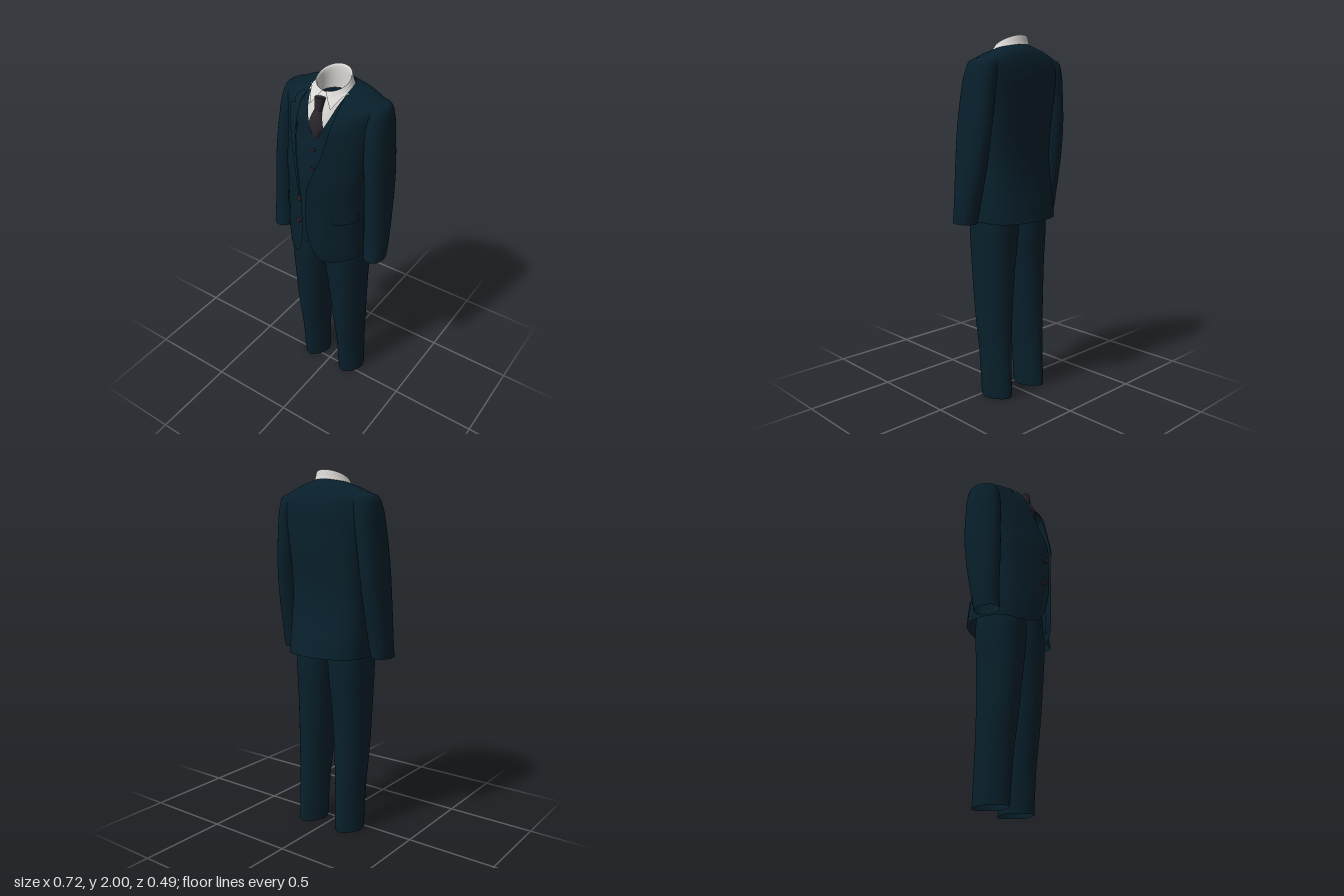
import * as THREE from 'three';
import { ParametricGeometry } from 'three/addons/geometries/ParametricGeometry.js';

const mat = (name, color) => {
  const m = new THREE.MeshStandardMaterial({ color, side: THREE.DoubleSide });
  m.name = name;
  return m;
};
const V = (x, y, z) => new THREE.Vector3(x, y, z);
const lerp = THREE.MathUtils.lerp;

// Smooth surface through rows of control points: u runs along a row, v from the first row to the last
function surface(rows, closed = false) {
  const columns = rows[0].map((_, i) => new THREE.CatmullRomCurve3(rows.map(r => r[i])));
  let lastV = -1, curve;
  return (u, v, target) => {
    if (v !== lastV) {
      curve = new THREE.CatmullRomCurve3(columns.map(c => c.getPoint(v)), closed);
      lastV = v;
    }
    return curve.getPoint(Math.min(1, Math.max(0, u)), target);
  };
}

// Closed ring of control points: below power 1 it is squarer, above 1 it is creased front and back
function ring(s, cx, y, cz, rx, rz, power = 0.9) {
  const p = [];
  for (let i = 0; i < 16; i++) {
    const a = i / 16 * Math.PI * 2, c = Math.cos(a), n = Math.sin(a);
    p.push(V(s * (cx + rx * Math.sign(c) * Math.abs(c) ** power), y,
      cz - rz * Math.sign(n) * Math.abs(n) ** power));
  }
  return s < 0 ? p.reverse() : p;
}

export function createModel() {
  const group = new THREE.Group();
  group.name = 'suit';
  const navy = mat('navy cloth', 0x08202c);
  const white = mat('white shirt', 0xdcdad6);
  const tieMat = mat('dark tie', 0x2a262d);
  const buttonMat = mat('brown button', 0x33272a);

  const add = (name, geo, material) => {
    const m = new THREE.Mesh(geo, material);
    m.name = name;
    group.add(m);
    return m;
  };
  const loft = (name, rows, material, nu, nv, closed) =>
    add(name, new ParametricGeometry(surface(rows, closed), nu, nv), material);

  // Jacket: [front y, side y, back y, edge x, front z, half width, side z, back z], hem to neck
  const jacketRows = [
    [0.98, 1.01, 1.01, 0.13, 0.165, 0.237, -0.04, -0.24],
    [1.0, 1.05, 1.04, 0.075, 0.2, 0.238, -0.04, -0.234],
    [1.06, 1.1, 1.1, 0.04, 0.222, 0.238, -0.04, -0.225],
    [1.2, 1.2, 1.2, 0.013, 0.238, 0.235, -0.04, -0.207],
    [1.35, 1.35, 1.35, 0.013, 0.24, 0.23, -0.04, -0.192],
    [1.48, 1.48, 1.48, 0.023, 0.237, 0.235, -0.045, -0.195],
    [1.6, 1.6, 1.6, 0.06, 0.202, 0.242, -0.06, -0.2],
    [1.7, 1.7, 1.7, 0.085, 0.173, 0.252, -0.075, -0.2],
    [1.78, 1.78, 1.78, 0.098, 0.147, 0.26, -0.08, -0.2],
    [1.85, 1.86, 1.86, 0.105, 0.102, 0.265, -0.075, -0.188],
    [1.88, 1.9, 1.915, 0.108, 0.07, 0.2, -0.06, -0.168],
    [1.905, 1.935, 1.953, 0.1, 0.03, 0.1, -0.045, -0.131],
  ].map(([yF, yS, yB, xe, zf, w, zs, zb]) => {
    const half = [
      V(xe, yF, zf),
      V(lerp(xe, w, 0.5), lerp(yF, yS, 0.3), lerp(zf, zs, 0.22)),
      V(lerp(xe, w, 0.88), lerp(yF, yS, 0.7), lerp(zf, zs, 0.52)),
      V(w, yS, zs),
      V(w * 0.94, lerp(yS, yB, 0.3), lerp(zs, zb, 0.52)),
      V(w * 0.68, lerp(yS, yB, 0.6), lerp(zs, zb, 0.83)),
    ];
    return [...half, V(0, yB, zb), ...half.map(p => V(-p.x, p.y, p.z)).reverse()];
  });
  const jacket = surface(jacketRows);
  loft('jacket', jacketRows, navy, 72, 66);

  // Cloth patch lying just above the jacket; range(v) gives its start and end along the row
  function patch(name, side, v0, v1, range, lift) {
    const geo = new ParametricGeometry((a, b, target) => {
      const v = lerp(v0, v1, b), [u0, u1] = range(b);
      const u = side > 0 ? lerp(u0, u1, a) : 1 - lerp(u1, u0, a);
      jacket(u, v, target);
    }, 8, 24);
    const p = geo.attributes.position, n = geo.attributes.normal;
    for (let i = 0; i < p.count; i++) {
      p.setXYZ(i, p.getX(i) + n.getX(i) * lift, p.getY(i) + n.getY(i) * lift, p.getZ(i) + n.getZ(i) * lift);
    }
    add(name, geo, navy);
  }
  for (const s of [1, -1]) {
    const lapelWidth = b => (b < 0.72 ? 0.012 + b * 0.085 : b < 0.78 ? 0.035 : 0.05);
    patch('lapel', s, 0.41, 0.94, b => [0, lapelWidth(b)], 0.005);
    patch('pocketFlap', s, 0.3, 0.328, () => [0.09, 0.19], 0.006);
    patch('backVent', s, 0.01, 0.24, () => [0.385, 0.42], 0.003);
  }
  patch('breastPocket', 1, 0.56, 0.578, () => [0.075, 0.14], 0.004);

  for (const s of [1, -1]) {
    // Facing folded back inside the jacket edge
    loft('jacketFacing', jacketRows.slice(1, 9).map(r => {
      const e = r[0], inner = V(s * (e.x + 0.05), e.y, e.z - 0.06), edge = V(s * e.x, e.y, e.z);
      return s > 0 ? [inner, edge] : [edge, inner];
    }), navy, 3, 36);

    // Sleeves, open at the cuff
    loft('sleeve', [
      [0.302, 1.01, 0.008, 0.056, 0.074],
      [0.298, 1.1, -0.006, 0.061, 0.078],
      [0.289, 1.3, -0.028, 0.062, 0.1],
      [0.278, 1.5, -0.044, 0.062, 0.113],
      [0.259, 1.7, -0.056, 0.063, 0.11],
      [0.244, 1.8, -0.064, 0.067, 0.102],
      [0.222, 1.862, -0.07, 0.071, 0.084],
      [0.19, 1.885, -0.07, 0.045, 0.045],
    ].map(r => ring(s, ...r)), navy, 32, 36, true);

    // Trouser legs, open at both ends
    loft('trouserLeg', [
      [0.13, 0, -0.055, 0.081, 0.106, 1.25],
      [0.128, 0.25, -0.042, 0.085, 0.109, 1.15],
      [0.125, 0.47, -0.026, 0.092, 0.117, 0.98],
      [0.117, 0.75, -0.016, 0.105, 0.133, 0.92],
      [0.111, 0.9, -0.015, 0.114, 0.142, 0.88],
      [0.109, 1.0, -0.015, 0.115, 0.143, 0.85],
      [0.1, 1.12, -0.015, 0.108, 0.138, 0.85],
    ].map(r => ring(s, ...r)), navy, 48, 36, true);

    // Waistcoat front: [front y, point y, side y, edge x, front z, half width]
    loft('waistcoat', [
      [1.09, 1.03, 1.08, 0, 0.15, 0.2],
      [1.2, 1.19, 1.2, 0, 0.157, 0.2],
      [1.45, 1.45, 1.45, 0, 0.157, 0.2],
      [1.62, 1.62, 1.62, 0, 0.145, 0.2],
      [1.7, 1.7, 1.7, 0.002, 0.132, 0.2],
      [1.78, 1.78, 1.78, 0.05, 0.115, 0.19],
      [1.87, 1.87, 1.87, 0.085, 0.06, 0.15],
      [1.9, 1.9, 1.9, 0.095, 0.025, 0.12],
    ].map(([yF, yM, yS, xe, z, w]) => {
      const r = [V(s * xe, yF, z), V(s * lerp(xe, w, 0.3), yM, z - 0.008),
        V(s * lerp(xe, w, 0.7), lerp(yM, yS, 0.6), z - 0.04), V(s * w, yS, z - 0.15)];
      return s < 0 ? r.reverse() : r;
    }), navy, 16, 36);

    // Cuff buttons
    for (let i = 0; i < 3; i++) {
      const b = add('cuffButton', new THREE.SphereGeometry(0.007, 10, 6), buttonMat);
      b.position.set(s * 0.335, 1.05 + i * 0.03, -0.057 - i * 0.004);
    }
  }

  // Shirt front
  loft('shirtFront', [[1.66, 0.122], [1.78, 0.106], [1.87, 0.075], [1.92, 0.045]].map(([y, z]) =>
    [0.11, 0.05, 0, -0.05, -0.11].map(x => V(x, y, z - 3.5 * x * x))), white, 16, 14);

  // Shirt collar: outside fall with two front points, top fold, inside wall
  const collarRow = (start, rx, rz, yBack, yFront, tip) => {
    const r = [];
    for (let i = 0; i <= 24; i++) {
      const a = lerp(start, Math.PI * 2 - start, i / 24), f = Math.max(0, Math.cos(a));
      r.push(V(rx * Math.sin(a), lerp(yBack, yFront, (1 + Math.cos(a)) / 2) - tip * 2 * f ** 3,
        -0.035 + rz * Math.cos(a) + tip * f ** 2));
    }
    return r;
  };
  loft('shirtCollar', [
    collarRow(0.6, 0.107, 0.1, 1.935, 1.92, 0.06),
    collarRow(0.3, 0.099, 0.093, 1.965, 1.92, 0.015),
    collarRow(0.1, 0.09, 0.086, 2.0, 1.925, 0),
    collarRow(0.08, 0.085, 0.08, 1.995, 1.92, 0),
    collarRow(0.05, 0.086, 0.08, 1.87, 1.85, 0),
  ], white, 64, 24);

  // Tie: knot and blade
  const knot = add('tieKnot', new THREE.CylinderGeometry(0.028, 0.019, 0.065, 16), tieMat);
  knot.position.set(0, 1.873, 0.093);
  knot.rotation.x = -0.25;
  loft('tieBlade', [[1.67, 0.008, 0.118], [1.72, 0.03, 0.134], [1.77, 0.042, 0.138],
    [1.82, 0.03, 0.128], [1.86, 0.016, 0.1]].map(([y, w, z]) =>
    [V(w, y, z - 0.014), V(w * 0.5, y, z), V(0, y, z + 0.003), V(-w * 0.5, y, z), V(-w, y, z - 0.014)]),
  tieMat, 10, 16);

  // Front buttons: [x, y, z, radius, turn]
  const buttons = [[-0.03, 1.39, 0.234, 0.015, -0.4], [-0.045, 1.24, 0.228, 0.015, -0.4]];
  for (let i = 0; i < 5; i++) buttons.push([0, 1.64 - i * 0.1, i ? 0.159 : 0.146, 0.008, 0]);
  for (const [x, y, z, r, turn] of buttons) {
    const holder = new THREE.Group();
    holder.name = 'frontButton';
    holder.position.set(x, y, z);
    holder.rotation.y = turn;
    const disc = new THREE.Mesh(new THREE.CylinderGeometry(r, r, 0.012, 16), buttonMat);
    disc.name = 'buttonDisc';
    disc.rotation.x = Math.PI / 2;
    holder.add(disc);
    group.add(holder);
  }
  return group;
}
